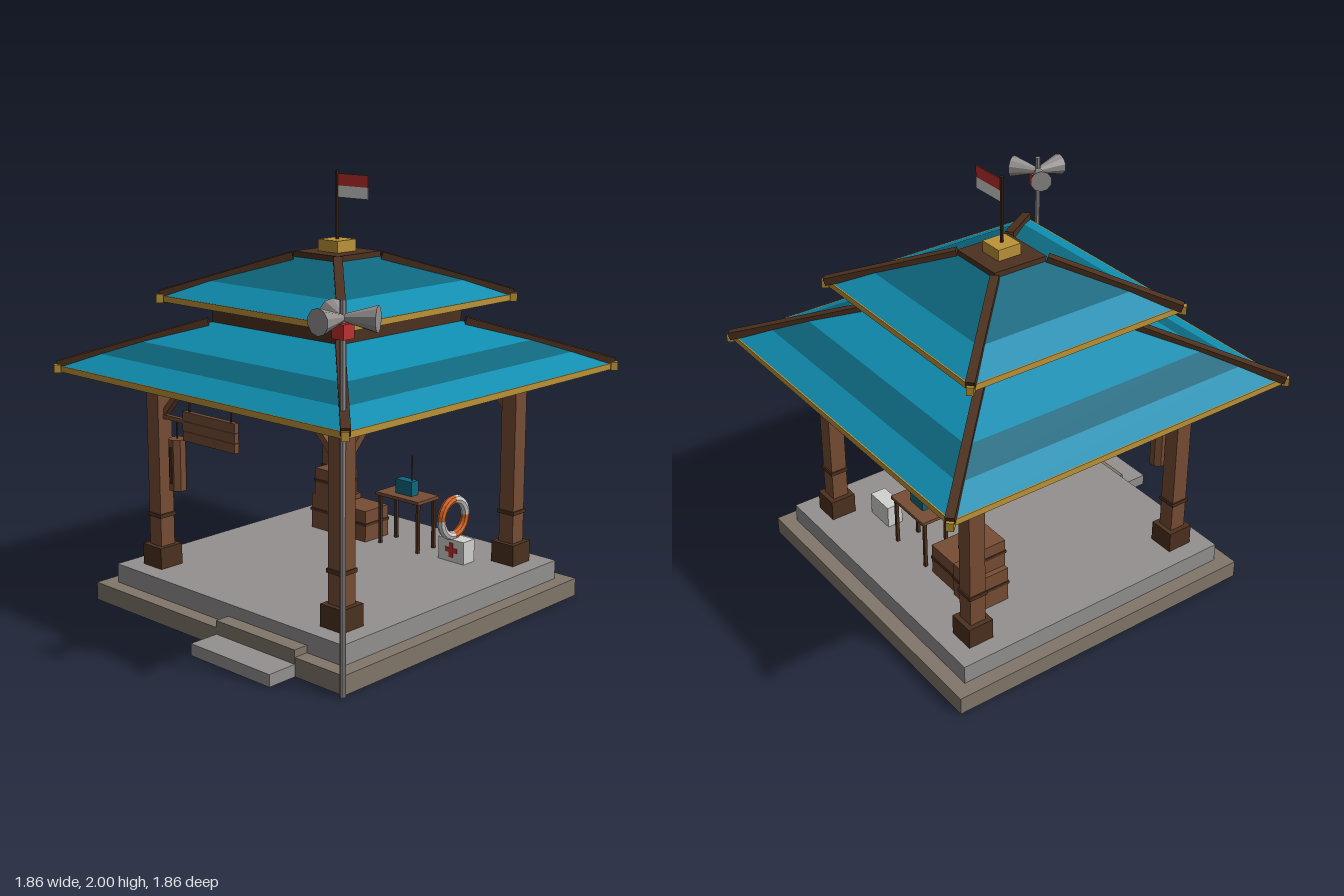
import * as THREE from 'three';

const mat = (name, color) => {
  const m = new THREE.MeshStandardMaterial({ color });
  m.name = name;
  return m;
};

export function createModel() {
  const M = {
    teal: mat('roof teal', 0x0f8db0),
    deep: mat('dark teal', 0x0e677e),
    gold: mat('gold trim', 0xbd9438),
    dark: mat('dark timber', 0x4c311f),
    wood: mat('timber', 0x764d34),
    stone: mat('pale stone and metal', 0x949090),
    base: mat('foundation stone', 0x81766a),
    white: mat('white paint', 0xd2d2d0),
    red: mat('red paint', 0xbf3030),
    orange: mat('orange paint', 0xd0621f),
  };
  const root = new THREE.Group();
  root.name = 'pavilion';
  const house = new THREE.Group();
  house.name = 'building';
  house.position.set(-0.016, 0, -0.021);
  root.add(house);

  // Helpers: faceted mesh, box by centre and vertical span, bar between two points
  const add = (parent, name, geo, m, x = 0, y = 0, z = 0) => {
    const g = geo.index ? geo.toNonIndexed() : geo;
    g.computeVertexNormals();
    const mesh = new THREE.Mesh(g, m);
    mesh.name = name;
    mesh.position.set(x, y, z);
    parent.add(mesh);
    return mesh;
  };
  const box = (parent, name, m, x, z, w, d, y0, y1) =>
    add(parent, name, new THREE.BoxGeometry(w, y1 - y0, d), m, x, (y0 + y1) / 2, z);
  const rod = (parent, name, m, x, z, r, y0, y1, sides = 8) =>
    add(parent, name, new THREE.CylinderGeometry(r, r, y1 - y0, sides), m, x, (y0 + y1) / 2, z);
  const bar = (parent, name, m, a, b, w, h) => {
    const A = new THREE.Vector3(...a), B = new THREE.Vector3(...b);
    const mesh = add(parent, name, new THREE.BoxGeometry(w, h, A.distanceTo(B)), m);
    mesh.position.copy(A).add(B).multiplyScalar(0.5);
    mesh.lookAt(mesh.position.clone().add(B.sub(A)));
    return mesh;
  };

  // Plinth and steps
  box(house, 'foundation', M.base, 0, 0, 1.59, 1.59, 0, 0.085);
  box(house, 'floorSlab', M.stone, 0, 0, 1.45, 1.45, 0.085, 0.175);
  box(root, 'upperStep', M.base, 0.262, 0.73, 0.48, 0.09, 0.05, 0.118);
  box(root, 'lowerStep', M.stone, 0.262, 0.84, 0.48, 0.16, 0, 0.055);

  // Posts, beams and braces
  const P = 0.575;
  for (const sx of [-1, 1]) {
    for (const sz of [-1, 1]) {
      const x = sx * P, z = sz * P;
      box(house, 'postFoot', M.dark, x, z, 0.127, 0.127, 0.175, 0.275);
      box(house, 'post', M.wood, x, z, 0.08, 0.08, 0.275, 1.04);
      box(house, 'postBand', M.dark, x, z, 0.092, 0.092, 0.412, 0.43);
      box(house, 'postCapital', M.dark, x, z, 0.105, 0.105, 1.0, 1.04);
      box(house, 'postHead', M.dark, x, z, 0.128, 0.128, 1.03, 1.085);
      bar(house, 'brace', M.wood, [x - sx * 0.03, 0.89, z], [x - sx * 0.17, 1.04, z], 0.03, 0.028);
      if (sz > 0) bar(house, 'sideBrace', M.wood, [x, 0.89, z - 0.03], [x, 1.04, z - 0.17], 0.03, 0.028);
    }
    box(house, 'crossBeam', M.dark, 0, sx * P, 1.2, 0.075, 1.035, 1.085);
    box(house, 'sideBeam', M.dark, sx * P, 0, 0.075, 1.2, 1.035, 1.085);
  }

  // Roof tiers: banded slopes, soffit, gold eaves and corner ridges
  const tier = (label, rings, colours) => {
    const g = new THREE.Group();
    g.name = label;
    house.add(g);
    for (let i = 0; i + 1 < rings.length; i++) {
      const [r0, y0] = rings[i], [r1, y1] = rings[i + 1];
      const geo = new THREE.CylinderGeometry(r1 * Math.SQRT2, r0 * Math.SQRT2, y1 - y0, 4, 1, true);
      geo.rotateY(Math.PI / 4);
      add(g, 'roofBand', geo, colours[i], 0, (y0 + y1) / 2, 0);
    }
    const [r, y] = rings[0], [rt, yt] = rings[rings.length - 1];
    box(g, 'soffit', M.dark, 0, 0, 2 * r - 0.02, 2 * r - 0.02, y - 0.022, y - 0.008);
    for (const s of [-1, 1]) {
      box(g, 'eaveTrim', M.gold, 0, s * (r - 0.006), 2 * r, 0.016, y - 0.026, y + 0.002);
      box(g, 'eaveTrim', M.gold, s * (r - 0.006), 0, 0.016, 2 * r, y - 0.026, y + 0.002);
      for (const t of [-1, 1]) {
        const e = r + 0.008, k = rt + 0.01;
        bar(g, 'ridge', M.dark, [s * e, y + 0.008, t * e], [s * k, yt + 0.004, t * k], 0.04, 0.035);
        const tip = box(g, 'ridgeTip', M.gold, s * e, t * e, 0.032, 0.032, y - 0.028, y + 0.01);
        tip.rotation.y = Math.PI / 4;
      }
    }
  };
  tier('lowerRoof', [[0.887, 1.118], [0.765, 1.177], [0.637, 1.234], [0.4, 1.32]], [M.teal, M.deep, M.teal]);
  tier('upperRoof', [[0.555, 1.438], [0.415, 1.508], [0.13, 1.618]], [M.teal, M.deep]);
  box(house, 'roofNeck', M.dark, 0, 0, 0.795, 0.795, 1.28, 1.42);
  box(house, 'neckTrim', M.gold, 0, 0, 0.81, 0.81, 1.393, 1.405);
  box(house, 'roofCap', M.dark, 0, 0, 0.276, 0.276, 1.61, 1.64);
  box(house, 'finialBlock', M.gold, 0, 0, 0.12, 0.12, 1.64, 1.693);

  // Flagpole
  rod(house, 'flagpole', M.dark, 0, 0, 0.008, 1.69, 2.0);
  box(house, 'flagUpper', M.red, 0.097, 0, 0.176, 0.006, 1.932, 1.985);
  box(house, 'flagLower', M.white, 0.097, 0, 0.176, 0.006, 1.88, 1.932);

  // Loudspeaker mast with three horns
  rod(root, 'mast', M.stone, 0.782, 0.784, 0.013, 0, 1.605);
  box(root, 'mastBox', M.red, 0.782, 0.784, 0.062, 0.062, 1.455, 1.515);
  for (let i = 0; i < 3; i++) {
    const geo = new THREE.CylinderGeometry(0.054, 0.016, 0.13, 10);
    geo.rotateX(Math.PI / 2);
    geo.translate(0, 0, 0.072);
    add(root, 'horn', geo, M.stone, 0.782, 1.535, 0.784).rotation.y = i * Math.PI * 2 / 3;
  }

  // Hanging plank board
  for (let i = 0; i < 3; i++)
    box(root, 'signPlank', M.wood, -0.242, 0.555, 0.343, 0.025, 0.802 + i * 0.0457, 0.846 + i * 0.0457);
  for (const x of [-0.378, -0.104]) rod(root, 'signCord', M.dark, x, 0.555, 0.005, 0.93, 1.04, 6);

  // Slit drum on its arm
  bar(root, 'drumArm', M.wood, [-0.56, 0.89, 0.555], [-0.41, 0.89, 0.555], 0.022, 0.02);
  rod(root, 'drumCord', M.dark, -0.468, 0.555, 0.004, 0.8, 0.89, 6);
  rod(root, 'slitDrum', M.wood, -0.468, 0.555, 0.042, 0.56, 0.8, 8).rotation.y = Math.PI / 8;
  box(root, 'drumSlit', M.dark, -0.468, 0.595, 0.014, 0.008, 0.595, 0.765);

  // Crates with dark straps
  for (const [x, z, w, d, y0, y1] of [
    [-0.396, -0.415, 0.17, 0.18, 0.175, 0.35],
    [-0.38, -0.395, 0.15, 0.145, 0.35, 0.488],
    [-0.208, -0.41, 0.178, 0.165, 0.175, 0.33],
  ]) {
    const mid = y0 + (y1 - y0) * 0.55;
    box(root, 'crate', M.wood, x, z, w, d, y0, y1);
    box(root, 'crateStrap', M.dark, x, z, w + 0.008, d + 0.008, mid - 0.007, mid + 0.007);
  }

  // Table and radio
  box(root, 'tableTop', M.wood, 0.055, -0.435, 0.27, 0.155, 0.418, 0.434);
  for (const x of [-0.064, 0.174])
    for (const z of [-0.493, -0.377]) box(root, 'tableLeg', M.dark, x, z, 0.015, 0.015, 0.175, 0.418);
  box(root, 'radio', M.deep, 0.054, -0.433, 0.102, 0.05, 0.434, 0.505);
  rod(root, 'antenna', M.dark, 0.086, -0.433, 0.003, 0.505, 0.63, 6);

  // First-aid box
  box(root, 'aidBox', M.white, 0.365, -0.433, 0.152, 0.08, 0.175, 0.284);
  box(root, 'crossBar', M.red, 0.367, -0.392, 0.07, 0.006, 0.221, 0.243);
  box(root, 'crossUpright', M.red, 0.367, -0.3915, 0.022, 0.006, 0.197, 0.267);

  // Life ring in four coloured quarters
  const ring = new THREE.Group();
  ring.name = 'lifeRing';
  ring.position.set(0.57, 0.49, -0.155);
  ring.rotation.y = Math.PI / 2;
  root.add(ring);
  for (let i = 0; i < 4; i++)
    add(ring, 'ringQuarter', new THREE.TorusGeometry(0.083, 0.02, 8, 6, Math.PI / 2), i % 2 ? M.orange : M.white)
      .rotation.z = i * Math.PI / 2;

  return root;
}
